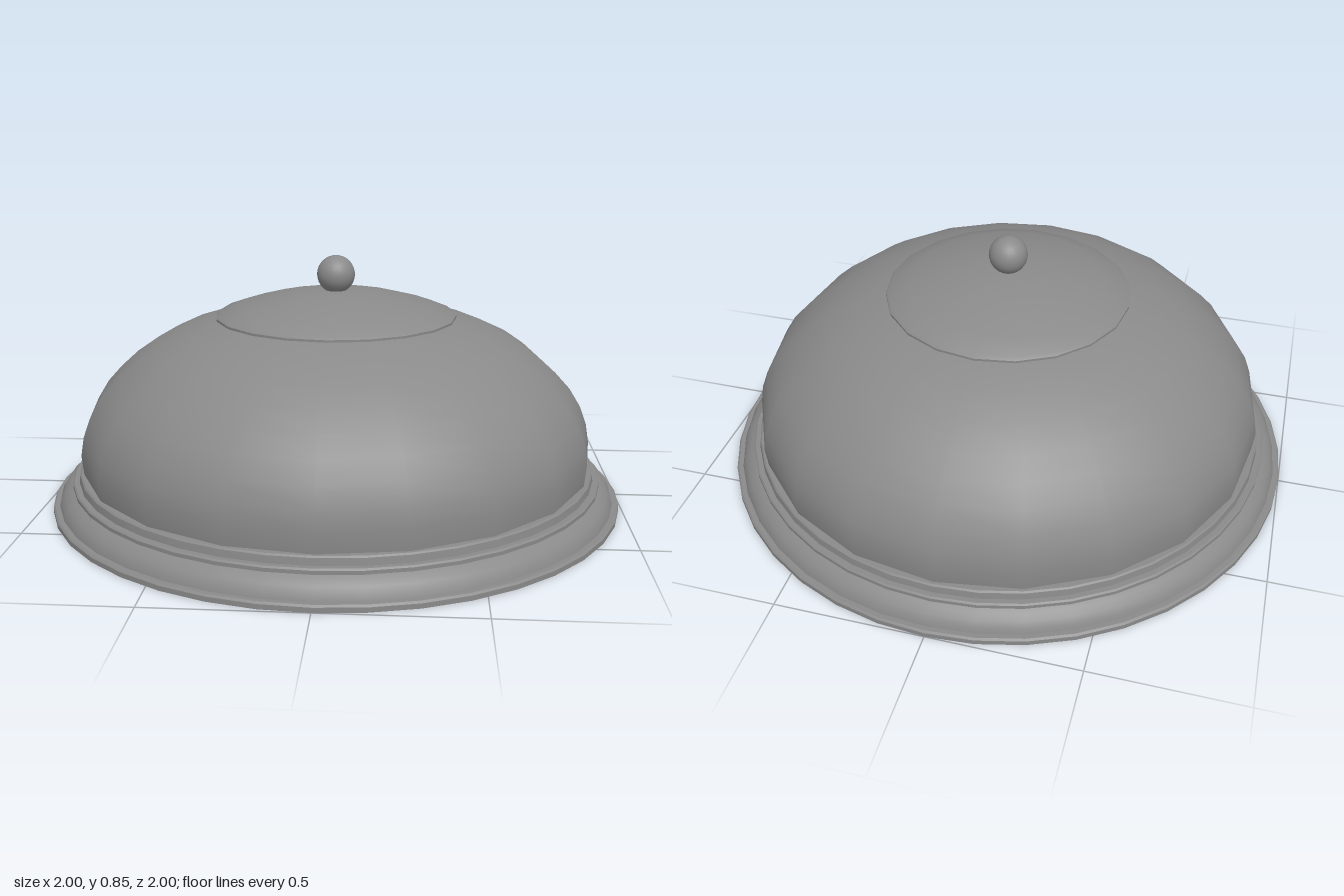
import * as THREE from 'three';
import { toCreasedNormals } from 'three/addons/utils/BufferGeometryUtils.js';

export function createModel() {
  const group = new THREE.Group();
  const material = new THREE.MeshStandardMaterial({ color: 0x8a8a8a });

  const add = (name, geometry, y = 0) => {
    const mesh = new THREE.Mesh(geometry, material);
    mesh.name = name;
    mesh.position.y = y;
    group.add(mesh);
  };
  // Revolve [radius, height] pairs, listed bottom to top
  const turned = (profile, sides) => toCreasedNormals(
    new THREE.LatheGeometry(profile.map(([r, y]) => new THREE.Vector2(r, y)), sides), 0.6);

  // Stepped, moulded foot with softened edges and a closed underside
  add('base', turned([
    [0, 0], [1, 0], [1, 0.016], [0.994, 0.022], [0.978, 0.022], [0.973, 0.04], [0.96, 0.06],
    [0.943, 0.075], [0.93, 0.083], [0.93, 0.095], [0.925, 0.1], [0.908, 0.1],
    [0.905, 0.123], [0.9, 0.128], [0, 0.128],
  ], 40));

  // Bulging shell, slightly tucked in at the foot
  add('dome', turned([
    [0.89, 0.12], [0.897, 0.195], [0.886, 0.26], [0.862, 0.325], [0.822, 0.39], [0.77, 0.447],
    [0.708, 0.503], [0.633, 0.555], [0.53, 0.604], [0.418, 0.64], [0.2, 0.68], [0, 0.69],
  ], 20));

  // Raised cap with a thin lip
  add('cap', turned([
    [0, 0.637], [0.42, 0.637], [0.42, 0.647], [0.41, 0.655], [0.34, 0.68], [0.24, 0.707],
    [0.13, 0.728], [0, 0.733],
  ], 20));

  // Ball handle
  add('knob', new THREE.SphereGeometry(0.066, 24, 16), 0.787);

  return group;
}
